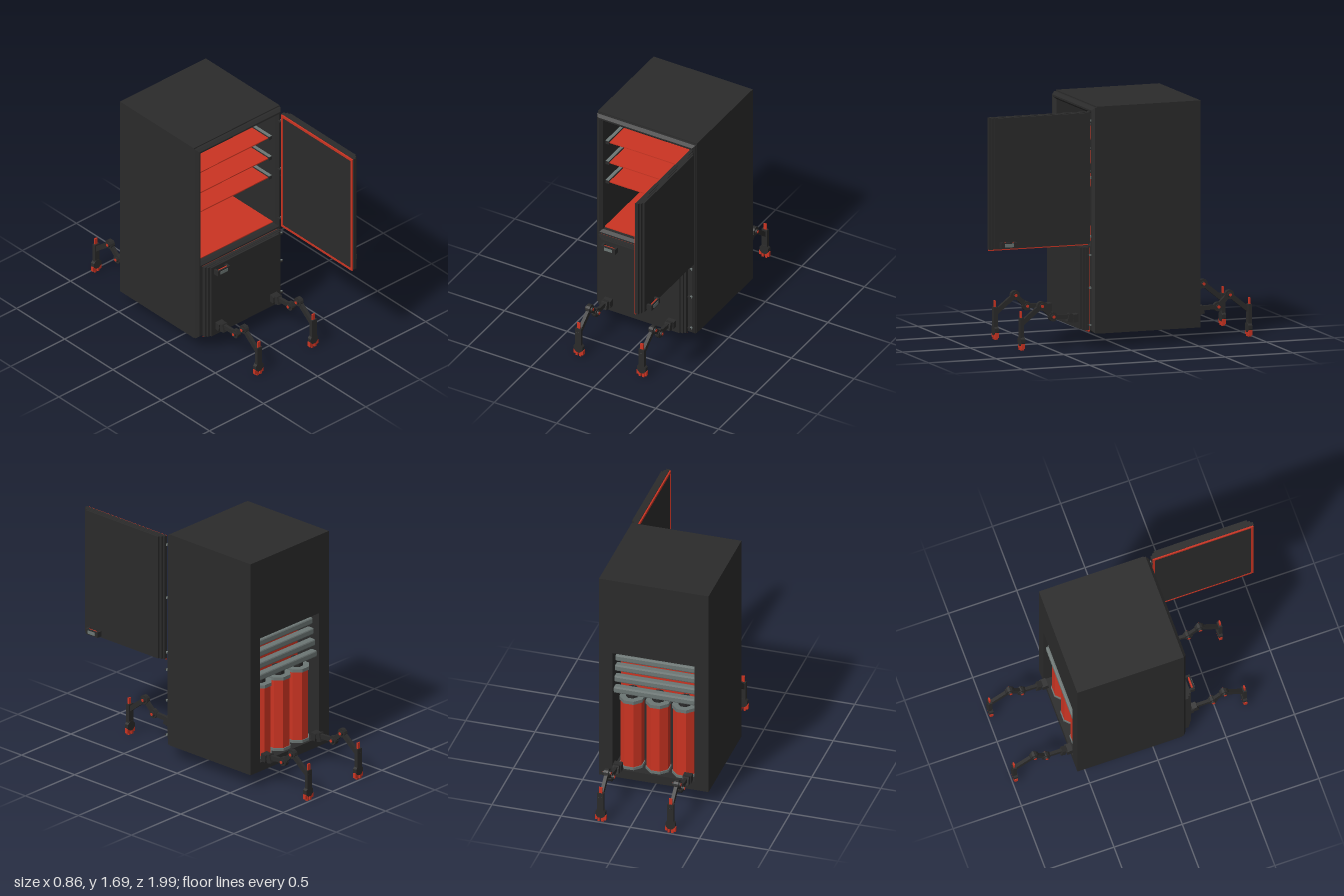
import * as THREE from 'three';
import { RoundedBoxGeometry } from 'three/addons/geometries/RoundedBoxGeometry.js';

const mat = (name, color) => Object.assign(new THREE.MeshStandardMaterial({ color, flatShading: true }), { name });

export function createModel() {
  const dark = mat('charcoal', 0x2b2b2b);
  const red = mat('red', 0xcb3422);
  const grey = mat('steel grey', 0x6c7674);
  const model = new THREE.Group();
  model.name = 'walkingCabinet';

  const add = (parent, name, geometry, material) => {
    const mesh = new THREE.Mesh(geometry, material);
    mesh.name = name;
    parent.add(mesh);
    return mesh;
  };
  // box given by its minimum and maximum corners
  const span = (parent, name, material, x0, x1, y0, y1, z0, z1) => {
    const m = add(parent, name, new THREE.BoxGeometry(x1 - x0, y1 - y0, z1 - z0), material);
    m.position.set((x0 + x1) / 2, (y0 + y1) / 2, (z0 + z1) / 2);
    return m;
  };
  const group = (parent, name) => {
    const g = new THREE.Group();
    g.name = name;
    parent.add(g);
    return g;
  };
  const rect = (S, x0, x1, y0, y1) => new S([[x0, y0], [x1, y0], [x1, y1], [x0, y1]]
    .map(([x, y]) => new THREE.Vector2(x, y)));

  // outer shell
  const body = group(model, 'body');
  span(body, 'rightWall', dark, -0.43, -0.38, 0.11, 1.697, -0.565, 0.2);
  span(body, 'leftWall', dark, 0.31, 0.362, 0.11, 1.697, -0.565, 0.2);
  span(body, 'roof', dark, -0.38, 0.31, 1.64, 1.697, -0.565, 0.2);
  span(body, 'base', dark, -0.38, 0.31, 0.11, 0.17, -0.565, 0.2);
  span(body, 'divider', dark, -0.38, 0.31, 0.69, 0.735, -0.355, 0.2);

  // back panel with its open bay
  const back = rect(THREE.Shape, -0.38, 0.31, 0.17, 1.64);
  back.holes.push(rect(THREE.Path, -0.33, 0.265, 0.175, 1.11));
  add(body, 'backPanel', new THREE.ExtrudeGeometry(back, { depth: 0.015, bevelEnabled: false }), dark)
    .position.z = -0.565;

  // chamfered front frame around the compartment
  const b = 0.018;
  const frame = rect(THREE.Shape, -0.427 + b, 0.359 - b, 0.113 + b, 1.688 - b);
  frame.holes.push(rect(THREE.Path, -0.38 - b, 0.31 + b, 0.735 - b, 1.64 + b));
  add(body, 'frontFrame', new THREE.ExtrudeGeometry(frame, {
    depth: 0.02, bevelThickness: 0.02, bevelSize: b, bevelSegments: 1,
  }), dark).position.z = 0.195;

  // compartment lining and shelves
  const inside = group(model, 'compartment');
  span(inside, 'rearLining', red, -0.38, 0.31, 0.735, 1.64, -0.365, -0.355);
  span(inside, 'floorLining', red, -0.38, 0.31, 0.735, 0.742, -0.355, 0.19);
  const slot = add(inside, 'rearVent', new RoundedBoxGeometry(0.585, 0.04, 0.012, 2, 0.005), grey);
  slot.position.set(-0.034, 1.055, -0.352);
  for (const y of [1.44, 1.27, 1.11]) {
    const shelf = group(inside, 'shelf');
    span(shelf, 'shelfPlate', red, -0.36, 0.29, y - 0.004, y + 0.004, -0.355, 0.17);
    for (const s of [-1, 1]) {
      const x = -0.035 + s * 0.333;
      span(shelf, 'shelfRail', dark, x - 0.014, x + 0.014, y - 0.012, y + 0.012, -0.355, 0.18);
      span(shelf, 'railTrim', grey, x - 0.012, x + 0.012, y + 0.012, y + 0.015, -0.355, 0.178);
    }
  }

  // rear machine bay
  const bay = group(model, 'machineBay');
  span(bay, 'bayWallRight', dark, -0.34, -0.33, 0.17, 1.64, -0.55, -0.355);
  span(bay, 'bayWallLeft', dark, 0.265, 0.275, 0.17, 1.64, -0.55, -0.355);
  span(bay, 'bayRear', dark, -0.33, 0.265, 0.17, 0.735, -0.365, -0.355);
  [[1.04, -0.485], [0.965, -0.495], [0.885, -0.51], [0.805, -0.525]].forEach(([y, z]) => {
    add(bay, 'coolingBar', new RoundedBoxGeometry(0.59, 0.048, 0.055, 1, 0.01), grey).position.set(-0.033, y, z);
  });
  for (const i of [-1, 0, 1]) {
    const tank = group(bay, 'tank');
    tank.position.set(-0.035 + i * 0.19, 0, -0.455);
    const section = (name, r, y0, y1, m) => {
      const g = new THREE.CylinderGeometry(r, r, y1 - y0, 8);
      g.rotateY(Math.PI / 8);
      add(tank, name, g, m).position.y = (y0 + y1) / 2;
    };
    section('tankBody', 0.083, 0.19, 0.7, red);
    section('tankCap', 0.09, 0.7, 0.725, grey);
    section('tankFoot', 0.09, 0.17, 0.19, grey);
    section('tankNeck', 0.045, 0.725, 0.78, dark);
  }

  // doors: built in a closed pose, x from the hinge (0) to the free edge (-w), front at +z
  const makeDoor = (name, w, h, handleX, handleY) => {
    const door = group(model, name);
    const seal = rect(THREE.Shape, -w + 0.006, -0.006, 0, h - 0.004);
    seal.holes.push(rect(THREE.Path, -w + 0.024, -0.024, 0.018, h - 0.022));
    add(door, 'doorSeal', new THREE.ExtrudeGeometry(seal, { depth: 0.01, bevelEnabled: false }), red)
      .position.z = -0.01;
    span(door, 'doorLiner', dark, -w + 0.024, -0.024, 0.018, h - 0.022, -0.008, 0);
    span(door, 'doorPanel', dark, -w, 0, 0.012, h, 0, 0.024);
    span(door, 'doorStep', dark, -w + 0.016, -0.016, 0.014, h - 0.002, 0.024, 0.038);
    span(door, 'doorFace', dark, -w + 0.035, -0.035, 0.016, h - 0.004, 0.038, 0.052);
    // bracket handle
    const handle = group(door, 'handle');
    handle.position.set(handleX, handleY, 0.052);
    for (const s of [-1, 1]) {
      span(handle, 'handlePost', dark, s * 0.049 - 0.008, s * 0.049 + 0.008, -0.02, 0.02, 0, 0.04);
    }
    span(handle, 'handleBar', dark, -0.057, 0.057, -0.02, 0.02, 0.03, 0.04);
    span(handle, 'handleInlay', grey, -0.032, 0.032, -0.012, 0.012, 0.04, 0.043);
    span(handle, 'handleLining', red, -0.041, 0.041, -0.019, 0.019, 0.021, 0.03);
    return door;
  };
  makeDoor('lowerDoor', 0.70, 0.592, -0.583, 0.547).position.set(0.313, 0.118, 0.242);
  const upper = makeDoor('upperDoor', 0.75, 0.935, -0.625, 0.045);
  upper.position.set(0.335, 0.73, 0.25);
  upper.rotation.y = Math.PI / 2;

  // hinges
  for (const y of [0.17, 0.43, 0.66, 0.79, 1.2, 1.6]) {
    const hinge = group(model, 'hinge');
    add(hinge, 'hingePin', new THREE.CylinderGeometry(0.008, 0.008, 0.014, 8), grey).position.set(0.341, y, 0.243);
    span(hinge, 'hingeLeaf', dark, 0.318, 0.345, y - 0.004, y + 0.004, 0.23, 0.256);
  }

  // jointed legs, laid out in the (z, y) plane
  const makeLeg = () => {
    const leg = new THREE.Group();
    leg.name = 'leg';
    const link = (name, z0, y0, z1, y1, w, t, m) => {
      const o = add(leg, name, new THREE.BoxGeometry(w, t, Math.hypot(z1 - z0, y1 - y0)), m);
      o.position.set(0, (y0 + y1) / 2, (z0 + z1) / 2);
      o.rotation.x = -Math.atan2(y1 - y0, z1 - z0);
    };
    const joint = (z, y) => {
      [['joint', 0.033, 0.03, dark], ['jointPin', 0.018, 0.054, dark], ['jointCap', 0.011, 0.06, red]]
        .forEach(([n, r, len, m]) => {
          const g = new THREE.CylinderGeometry(r, r, len, 12);
          g.rotateZ(Math.PI / 2);
          add(leg, n, g, m).position.set(0, y, z);
        });
    };
    link('hipPlate', 0.285, 0.21, 0.33, 0.205, 0.06, 0.055, dark);
    link('hip', 0.33, 0.205, 0.365, 0.215, 0.045, 0.06, dark);
    link('thigh', 0.36, 0.22, 0.475, 0.225, 0.022, 0.032, dark);
    joint(0.475, 0.225);
    link('shank', 0.475, 0.225, 0.56, 0.305, 0.022, 0.034, dark);
    joint(0.56, 0.305);
    link('shin', 0.56, 0.305, 0.71, 0.185, 0.024, 0.034, dark);
    link('ankle', 0.707, 0.23, 0.707, 0.08, 0.045, 0.026, dark);
    link('spike', 0.709, 0.22, 0.709, 0.275, 0.024, 0.01, red);
    // foot pad and claws
    const pad = new THREE.CylinderGeometry(0.037, 0.037, 0.03, 8);
    pad.rotateX(Math.PI / 2).rotateZ(Math.PI / 8);
    add(leg, 'footPad', pad, dark).position.set(0, 0.068, 0.705);
    for (const s of [-1, 1]) {
      span(leg, 'outerClaw', red, s * 0.031 - 0.008, s * 0.031 + 0.008, 0.017, 0.052, 0.693, 0.717);
      span(leg, 'innerClaw', red, s * 0.014 - 0.008, s * 0.014 + 0.008, 0.003, 0.04, 0.693, 0.717);
    }
    return leg;
  };
  for (const x of [-0.285, 0.22]) {
    const front = makeLeg();
    front.name = 'frontLeg';
    front.position.x = x;
    const rear = makeLeg();
    rear.name = 'rearLeg';
    rear.position.set(x, 0, -0.27);
    rear.rotation.y = Math.PI;
    model.add(front, rear);
  }

  return model;
}
